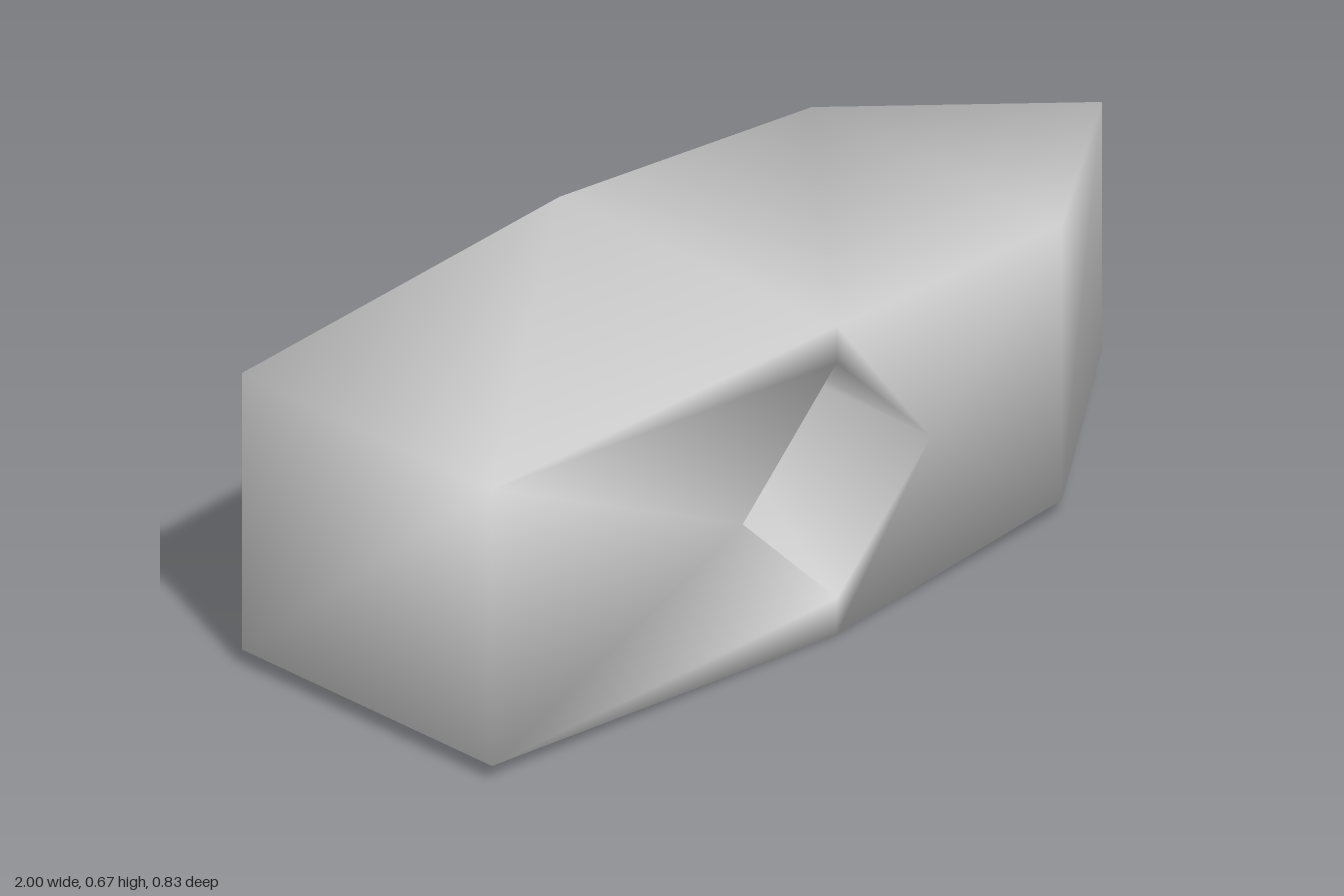
import * as THREE from 'three';

export function createModel() {
  const group = new THREE.Group();
  group.name = 'wedgeHead';
  const grey = new THREE.MeshStandardMaterial({ color: 0xcccccc, side: THREE.DoubleSide });
  grey.name = 'plain grey';

  const positions = [];
  const index = [];
  const vertex = (x, y, z) => positions.push(x, y, z) / 3 - 1;
  // fan of triangles over a convex outline
  const face = (...v) => {
    for (let i = 1; i < v.length - 1; i++) index.push(v[0], v[i], v[i + 1]);
  };

  // rectangular cross-sections along x: f/k = front/back, t/b = top/bottom
  const section = (x, y0, y1, z0, z1) => ({
    fb: vertex(x, y0, z1), ft: vertex(x, y1, z1), kt: vertex(x, y1, z0), kb: vertex(x, y0, z0),
  });
  const butt = section(-1, 0.036, 0.637, -0.304, 0.376);
  const middle = section(-0.1, 0, 0.671, -0.34, 0.414);
  const cheek = section(0.55, 0.036, 0.637, -0.304, 0.376);
  const edgeBottom = vertex(1, 0.066, 0.036);
  const edgeTop = vertex(1, 0.607, 0.036);

  // diamond outlines of the handle socket: left, top, right, bottom
  const diamond = (z) => [[-1, 0], [0, 1], [1, 0], [0, -1]].map(
    ([u, v]) => vertex(-0.1 + u * 0.256, 0.3355 + v * 0.256, z));
  const rim = diamond(0.414);
  const backRim = diamond(-0.34);
  const floor = diamond(-0.414);

  // top and bottom
  for (const [p, q] of [[butt, middle], [middle, cheek]]) {
    face(p.ft, q.ft, q.kt, p.kt);
    face(p.kb, q.kb, q.fb, p.fb);
  }
  // flat butt end
  face(butt.kb, butt.fb, butt.ft, butt.kt);
  // wedge tapering to an upright edge
  face(cheek.ft, edgeTop, cheek.kt);
  face(cheek.kb, edgeBottom, cheek.fb);
  face(cheek.fb, edgeBottom, edgeTop, cheek.ft);
  face(edgeBottom, cheek.kb, cheek.kt, edgeTop);

  // front and back sides, each around its diamond opening
  const side = (s, [l, t, r, b], front) => {
    const [top, bottom] = front ? ['ft', 'fb'] : ['kt', 'kb'];
    const add = (...v) => face(...(front ? v : v.reverse()));
    add(s[0][bottom], l, s[0][top]);
    add(s[0][top], l, t, s[1][top]);
    add(s[1][top], t, r, s[2][top]);
    add(r, s[2][bottom], s[2][top]);
    add(s[1][bottom], s[2][bottom], r, b);
    add(s[0][bottom], s[1][bottom], b, l);
  };
  side([butt, middle, cheek], rim, true);
  side([butt, middle, cheek], backRim, false);

  // socket walls run through the head and stand out at the back
  for (let i = 0; i < 4; i++) {
    const j = (i + 1) % 4;
    face(rim[j], rim[i], floor[i], floor[j]);
  }
  face(floor[0], floor[3], floor[2], floor[1]);

  const geometry = new THREE.BufferGeometry();
  geometry.setAttribute('position', new THREE.Float32BufferAttribute(positions, 3));
  geometry.setIndex(index);
  geometry.computeVertexNormals();

  const head = new THREE.Mesh(geometry, grey);
  head.name = 'headWithSocket';
  group.add(head);
  return group;
}
